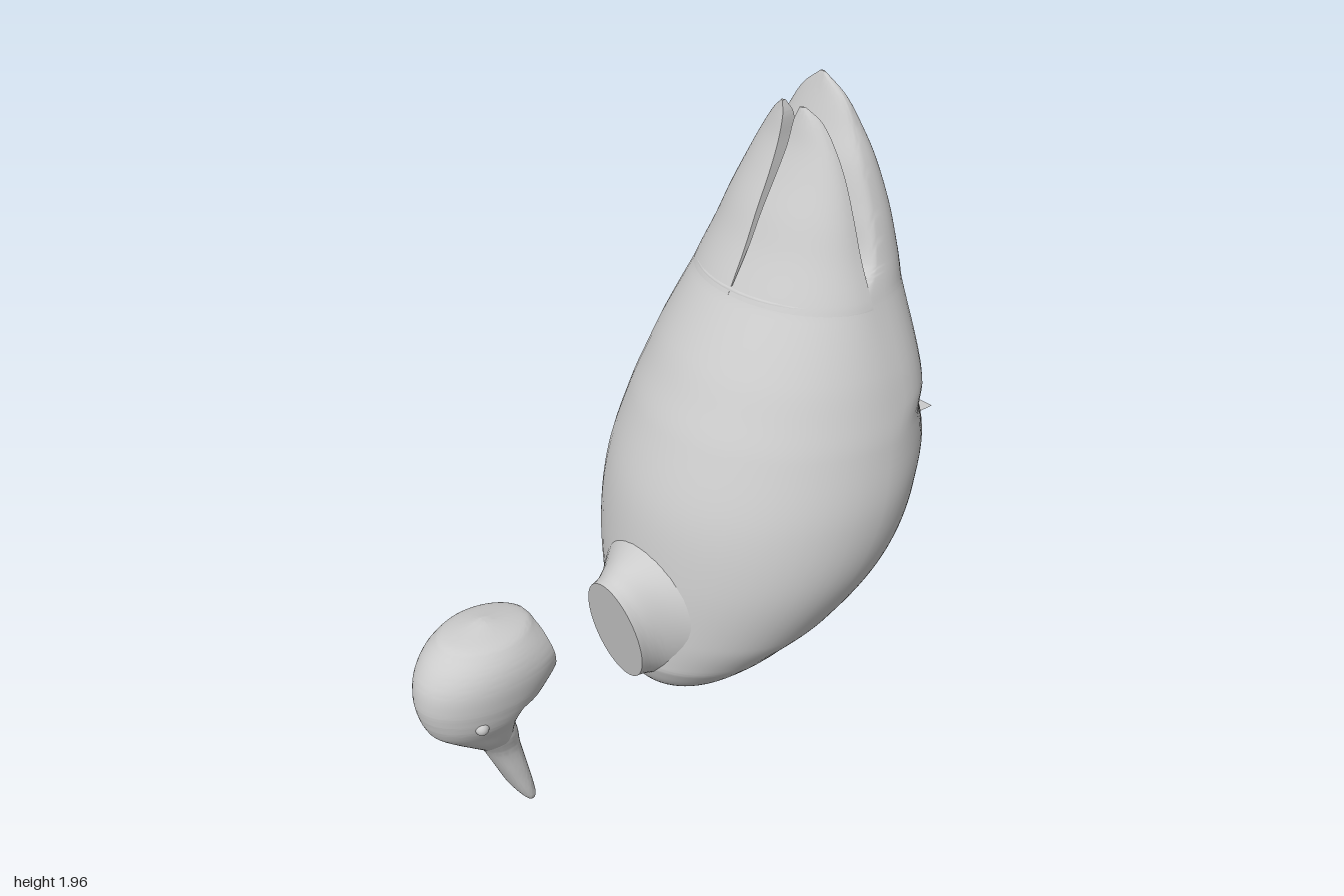
import * as THREE from 'three';
import { toCreasedNormals } from 'three/addons/utils/BufferGeometryUtils.js';

const grey = (side = THREE.FrontSide) => new THREE.MeshStandardMaterial({ color: 0xcccccc, side });

// Skin over a list of rings. openLoop leaves the gap between a ring's last and
// first point; the ends are closed at their centres.
function loft(name, rings, { openLoop = false, startCap = true } = {}) {
  const centre = (r) => {
    const c = [0, 1, 2].map((k) => r.reduce((s, p) => s + p[k], 0) / r.length);
    return r.map(() => c);
  };
  const all = [...(startCap ? [centre(rings[0])] : []), ...rings, centre(rings[rings.length - 1])];
  const n = rings[0].length, index = [];
  for (let i = 0; i < all.length - 1; i++) {
    for (let j = 0; j < (openLoop ? n - 1 : n); j++) {
      const a = i * n + j, b = i * n + (j + 1) % n;
      index.push(a, a + n, b, b, a + n, b + n);
    }
  }
  const g = new THREE.BufferGeometry();
  g.setAttribute('position', new THREE.Float32BufferAttribute(all.flat(2), 3));
  g.setIndex(index);
  const mesh = new THREE.Mesh(toCreasedNormals(g, 0.7), grey(openLoop ? THREE.DoubleSide : THREE.FrontSide));
  mesh.name = name;
  return mesh;
}

// Smooth in-between rows of a table; the first column is the parameter.
function smoothRows(rows, steps = 7) {
  const last = rows.length - 1, out = [];
  const slope = (i, k) => {
    const a = rows[Math.max(0, i - 1)], b = rows[Math.min(last, i + 1)];
    return (b[k] - a[k]) / (b[0] - a[0]);
  };
  for (let i = 0; i < last; i++) {
    const h = rows[i + 1][0] - rows[i][0];
    for (let s = 0; s < steps; s++) {
      const t = s / steps, t2 = t * t, t3 = t2 * t;
      out.push(rows[i].map((p, k) => p * (2 * t3 - 3 * t2 + 1) + rows[i + 1][k] * (3 * t2 - 2 * t3)
        + h * (slope(i, k) * (t3 - 2 * t2 + t) + slope(i + 1, k) * (t3 - t2))));
    }
  }
  out.push(rows[last]);
  return out;
}

// Level slice: half-width w, front zf, widest zm, back zb, half-width r of the cut at the back.
function slice([y, w, zf, zm, zb, r], frontPower, backPower) {
  w = Math.max(w, 0.001);
  r = Math.min(Math.max(r, 0), w * 0.95);
  const half = [], k = Math.min(1, r / w * 1.3), cut = 0.75 * k;
  const eb = 2 / (backPower + (2 - backPower) * k), ef = 2 / frontPower;
  const s0 = Math.sin(cut), c0 = Math.cos(cut);
  for (let i = 0; i < 14; i++) {
    const t = cut + (Math.PI / 2 - cut) * i / 14;
    const u = (Math.sin(t) - s0) / (1 - s0), v = Math.cos(t) / c0;
    half.push([r + (w - r) * u ** eb, y, zm + (zb - zm) * v ** eb]);
  }
  for (let i = 0; i <= 14; i++) {
    const t = Math.PI / 2 * i / 14;
    half.push([w * Math.max(0, Math.cos(t)) ** ef, y, zm + (zf - zm) * Math.sin(t) ** ef]);
  }
  return [...half, ...half.slice(0, -1).reverse().map(([x, yy, z]) => [-x, yy, z])];
}

export function createModel() {
  const group = new THREE.Group();

  // Hollow body with tail; columns: y, half-width, front z, widest z, back z, opening half-width
  const body = [
    [0.11, 0.01, 0.01, 0, -0.01, 0], [0.13, 0.085, 0.11, 0.01, -0.09, 0],
    [0.18, 0.167, 0.2, 0.01, -0.2, 0], [0.26, 0.255, 0.243, -0.01, -0.32, 0],
    [0.3, 0.29, 0.245, -0.02, -0.335, 0.16], [0.4, 0.37, 0.24, -0.08, -0.373, 0.28],
    [0.6, 0.465, 0.225, -0.19, -0.45, 0.375], [0.8, 0.49, 0.19, -0.28, -0.526, 0.385],
    [1.0, 0.46, 0.11, -0.335, -0.602, 0.3], [1.1, 0.433, 0.057, -0.355, -0.638, 0],
    [1.2, 0.4, 0, -0.365, -0.635, 0], [1.38, 0.325, -0.125, -0.37, -0.618, 0],
    [1.4, 0.317, -0.142, -0.373, -0.616, 0], [1.44, 0.3, -0.3, -0.4, -0.611, 0],
    [1.48, 0.283, -0.362, -0.425, -0.605, 0], [1.6, 0.24, -0.37, -0.45, -0.588, 0],
    [1.73, 0.185, -0.388, -0.46, -0.56, 0], [1.82, 0.133, -0.418, -0.47, -0.53, 0],
    [1.9, 0.08, -0.445, -0.472, -0.495, 0], [1.955, 0.008, -0.462, -0.465, -0.468, 0],
  ];
  group.add(loft('body', smoothRows(body).map((row) => slice(row, 2, 2.8)), { openLoop: true }));

  // Neck stub, flaring into the breast; columns: z, centre y, x radius, y radius
  const neck = [
    [0.16, 0.425, 0.225, 0.24], [0.21, 0.425, 0.175, 0.218], [0.25, 0.42, 0.138, 0.203],
    [0.285, 0.413, 0.122, 0.184], [0.316, 0.41, 0.118, 0.175],
  ];
  group.add(loft('neck', smoothRows(neck).map(([z, cy, rx, ry]) =>
    Array.from({ length: 40 }, (_, j) => {
      const t = -j / 40 * Math.PI * 2, dy = ry * Math.sin(t);
      return [rx * Math.cos(t), cy + dy, z + dy * 0.2];
    })), { startCap: false }));

  // Folded wing tips; columns: y, inner x, outer x, front z, back z
  const wing = smoothRows([
    [1.34, 0.001, 0.335, -0.105, -0.37], [1.38, 0.001, 0.326, -0.124, -0.37],
    [1.5, 0.006, 0.272, -0.188, -0.372], [1.6, 0.009, 0.232, -0.233, -0.378],
    [1.7, 0.013, 0.187, -0.283, -0.385], [1.78, 0.018, 0.143, -0.318, -0.385],
    [1.85, 0.022, 0.092, -0.337, -0.378], [1.887, 0.034, 0.046, -0.346, -0.358],
  ]).map(([y, xi, xo, zf, zb]) => {
    const ring = [], n = 14;
    for (let i = 0; i < n; i++) { // hollowed back, inner to outer edge
      const u = i / n;
      ring.push([xi + (xo - xi) * u, y, zb + (zf - zb) * 0.25 * Math.sin(Math.PI * u)]);
    }
    for (let i = 0; i <= n; i++) { // rounded front, outer to inner edge
      const t = Math.PI / 2 * i / n;
      ring.push([xi + (xo - xi) * Math.cos(t), y, zb + (zf - zb) * Math.sin(t)]);
    }
    return ring;
  });
  group.add(loft('leftWing', wing));
  group.add(loft('rightWing', wing.map((r) => r.map(([x, y, z]) => [-x, y, z]).reverse())));

  // Head with a flat cut where the neck joined; same columns as the body
  const head = [
    [0.2, 0.02, 0.765, 0.745, 0.725, 0], [0.28, 0.075, 0.862, 0.775, 0.722, 0],
    [0.36, 0.11, 0.958, 0.79, 0.712, 0], [0.4, 0.13, 0.981, 0.79, 0.7, 0],
    [0.43, 0.14, 0.99, 0.785, 0.66, 0], [0.442, 0.143, 0.993, 0.782, 0.605, 0.02],
    [0.48, 0.151, 0.997, 0.775, 0.608, 0.092], [0.54, 0.154, 0.988, 0.77, 0.617, 0.117],
    [0.59, 0.143, 0.96, 0.77, 0.626, 0.1], [0.63, 0.118, 0.92, 0.77, 0.632, 0.05],
    [0.65, 0.09, 0.888, 0.77, 0.645, 0], [0.672, 0.01, 0.78, 0.77, 0.76, 0],
  ];
  group.add(loft('head', smoothRows(head).map((row) => slice(row, 2, 2))));

  // Flattened bill; same columns
  const bill = [
    [0, 0.045, 0.69, 0.682, 0.675, 0], [0.012, 0.06, 0.7, 0.683, 0.666, 0],
    [0.04, 0.066, 0.717, 0.688, 0.664, 0], [0.13, 0.064, 0.758, 0.713, 0.678, 0],
    [0.23, 0.063, 0.805, 0.745, 0.697, 0], [0.3, 0.08, 0.85, 0.772, 0.709, 0],
    [0.35, 0.08, 0.86, 0.785, 0.73, 0],
  ];
  group.add(loft('bill', smoothRows(bill).map((row) => slice(row, 2.6, 2.6))));

  // Eyes
  for (const side of [1, -1]) {
    const eye = new THREE.Mesh(new THREE.SphereGeometry(0.02, 20, 14), grey());
    eye.position.set(side * 0.118, 0.42, 0.875);
    eye.name = side > 0 ? 'leftEye' : 'rightEye';
    group.add(eye);
  }

  // Small loose flat square behind the body
  const tag = new THREE.Mesh(new THREE.PlaneGeometry(0.066, 0.066), grey(THREE.DoubleSide));
  tag.rotation.x = -Math.PI / 2;
  tag.position.set(0, 0.7, -0.967);
  tag.name = 'flatSquare';
  group.add(tag);

  return group;
}
